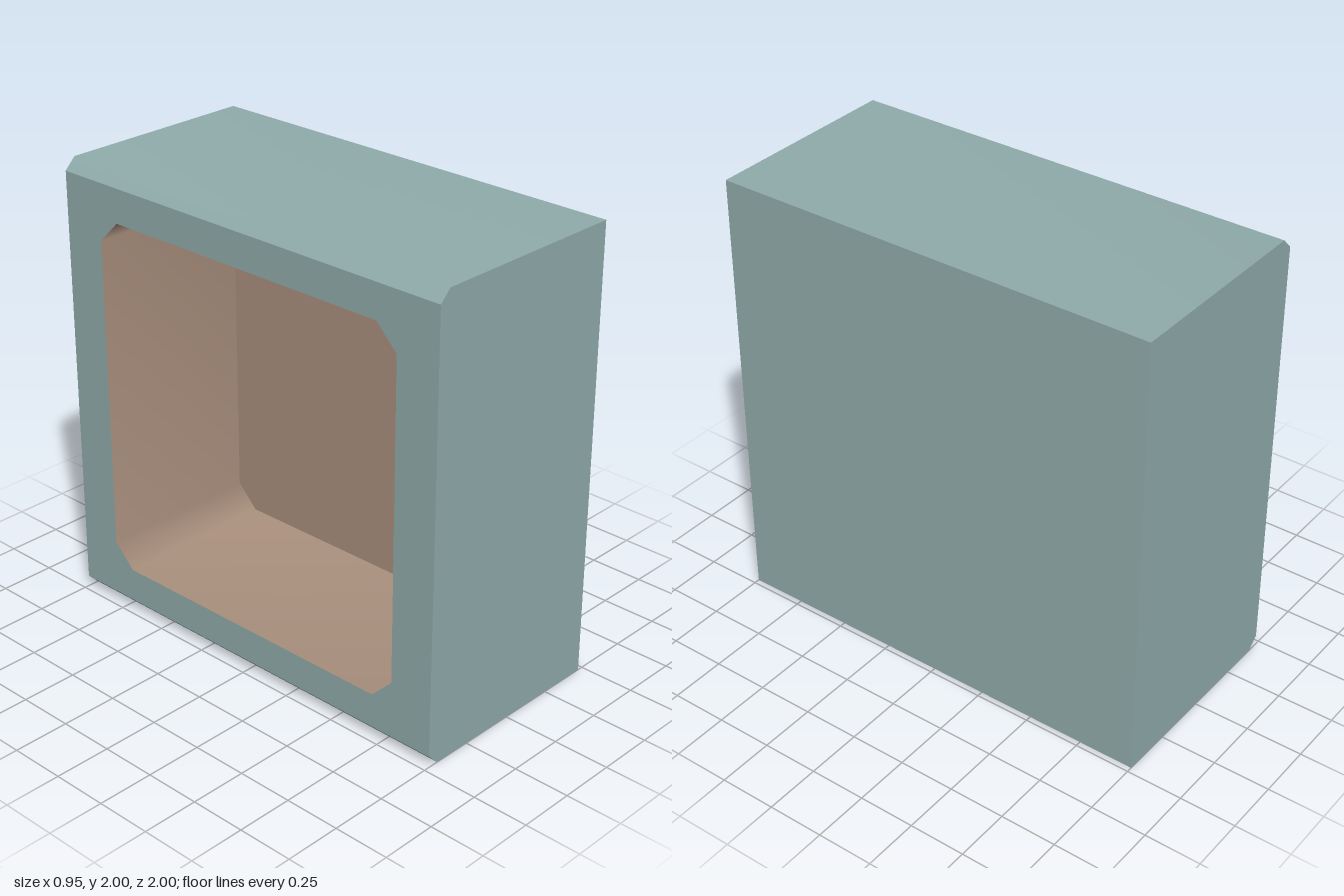
import * as THREE from 'three';

const X = 0.475, TOP = 2, Z = 1, BEVEL = 0.05; // outer body
const HALF = 0.8, MID = 1, CUT = 0.1, DEPTH = 0.75; // cavity

const shell = new THREE.MeshStandardMaterial({ color: 0x8fabaa });
shell.name = 'muted teal';
const lining = new THREE.MeshStandardMaterial({ color: 0xa98f7d });
lining.name = 'warm tan';

// Band of quads between two rows of points, smooth along the row
function band(a, b, closed = false) {
  const n = a.length, index = [];
  for (let i = 0; i < (closed ? n : n - 1); i++) {
    const j = (i + 1) % n;
    index.push(i, j, n + j, i, n + j, n + i);
  }
  const g = new THREE.BufferGeometry();
  g.setAttribute('position', new THREE.Float32BufferAttribute([...a, ...b].flat(), 3));
  g.setIndex(index);
  g.computeVertexNormals();
  return g;
}

const toShape = (pts) => new THREE.Shape(pts.map(([x, y]) => new THREE.Vector2(x, y)));

export function createModel() {
  const group = new THREE.Group();
  group.name = 'openBox';
  const add = (name, geometry, material) => {
    const mesh = new THREE.Mesh(geometry, material);
    mesh.name = name;
    group.add(mesh);
  };

  // Outer walls, bevelled along the open side's top and bottom edges
  const topRow = [[-X, TOP - BEVEL], [-X + BEVEL, TOP], [X, TOP]];
  const bottomRow = [[X, 0], [-X + BEVEL, 0], [-X, BEVEL]];
  const wall = (pts) => band(pts.map(([x, y]) => [x, y, Z]), pts.map(([x, y]) => [x, y, -Z]));
  add('topWall', wall(topRow), shell);
  add('closedSide', wall([[X, TOP], [X, 0]]), shell);
  add('bottomWall', wall(bottomRow), shell);

  // Front and back walls
  const outline = [...topRow, ...bottomRow];
  add('frontWall', new THREE.ShapeGeometry(toShape(outline)).translate(0, 0, Z), shell);
  const mirrored = outline.map(([x, y]) => [-x, y]);
  add('backWall', new THREE.ShapeGeometry(toShape(mirrored)).rotateY(Math.PI).translate(0, 0, -Z), shell);

  // Opening outline as [z, y], with cut corners
  const h = HALF, k = HALF - CUT;
  const opening = [[k, h], [-k, h], [-h, k], [-h, -k], [-k, -h], [k, -h], [h, -k], [h, k]]
    .map(([z, y]) => [z, y + MID]);

  // Flat rim around the opening
  const rim = toShape([[-Z, BEVEL], [Z, BEVEL], [Z, TOP - BEVEL], [-Z, TOP - BEVEL]]);
  rim.holes.push(toShape(opening));
  add('openingRim', new THREE.ShapeGeometry(rim).rotateY(-Math.PI / 2).translate(-X, 0, 0), shell);

  // Recessed interior
  const ring = (x) => opening.map(([z, y]) => [x, y, z]);
  add('cavityWalls', band(ring(-X), ring(-X + DEPTH), true), lining);
  add('cavityFloor', new THREE.ShapeGeometry(toShape(opening))
    .rotateY(-Math.PI / 2).translate(-X + DEPTH, 0, 0), lining);

  return group;
}
